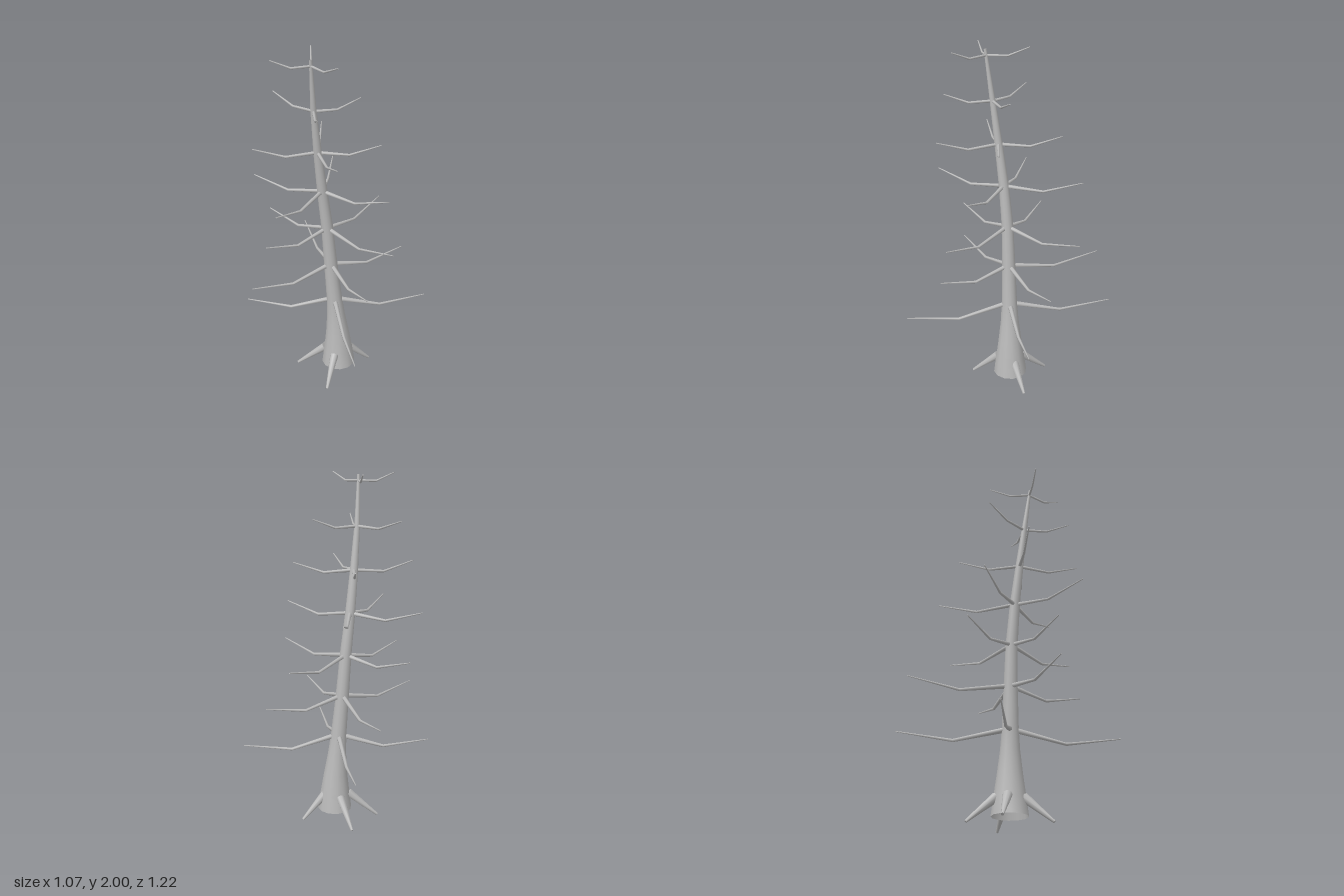
import * as THREE from 'three';

// Double-sided, because the hollow trunk is open at the base
const bark = new THREE.MeshStandardMaterial({ color: 0xbababa, side: THREE.DoubleSide });
bark.name = 'grey bark';

// Tapered tube through [x, y, z, radius] stations, optionally with horizontal rings and open ends
function limb(name, stations, sides, level = false) {
  const pts = stations.map(s => new THREE.Vector3(s[0], s[1], s[2]));
  const n = pts.length, pos = [], idx = [];
  const ref = level ? new THREE.Vector3(1, 0, 0) : new THREE.Vector3(0, 1, 0);
  pts.forEach((p, i) => {
    const t = level ? new THREE.Vector3(0, 1, 0)
      : pts[Math.min(i + 1, n - 1)].clone().sub(pts[Math.max(i - 1, 0)]).normalize();
    const u = ref.clone().addScaledVector(t, -ref.dot(t)).normalize();
    const v = t.clone().cross(u);
    for (let j = 0; j < sides; j++) {
      const a = j / sides * Math.PI * 2, r = stations[i][3];
      const q = p.clone().addScaledVector(u, Math.cos(a) * r).addScaledVector(v, Math.sin(a) * r);
      pos.push(q.x, q.y, q.z);
    }
  });
  for (let i = 0; i < n - 1; i++) {
    for (let j = 0; j < sides; j++) {
      const k = (j + 1) % sides;
      const a = i * sides + j, b = i * sides + k, c = a + sides, d = b + sides;
      idx.push(a, b, c, b, d, c);
    }
  }
  // End caps with their own vertices, so the rims stay sharp
  if (!level) {
    for (const end of [0, n - 1]) {
      const base = pos.length / 3;
      for (let j = 0; j < sides * 3; j++) pos.push(pos[end * sides * 3 + j]);
      for (let j = 1; j < sides - 1; j++) {
        if (end) idx.push(base, base + j, base + j + 1);
        else idx.push(base, base + j + 1, base + j);
      }
    }
  }
  const g = new THREE.BufferGeometry();
  g.setAttribute('position', new THREE.Float32BufferAttribute(pos, 3));
  g.setIndex(idx);
  g.computeVertexNormals();
  const mesh = new THREE.Mesh(g, bark);
  mesh.name = name;
  return mesh;
}

// Leaning trunk stations: x, y, z, radius
const TRUNK = [
  [0.002, 0.05, 0, 0.1], [0.001, 0.15, 0, 0.087], [-0.003, 0.27, 0, 0.07],
  [-0.012, 0.4, 0, 0.054], [-0.022, 0.52, 0, 0.046], [-0.042, 0.75, 0, 0.039],
  [-0.062, 1, 0.004, 0.034], [-0.09, 1.24, 0.02, 0.029], [-0.115, 1.48, 0.045, 0.023],
  [-0.136, 1.72, 0.073, 0.016], [-0.149, 1.99, 0.107, 0.008],
];

function trunkCentre(y) {
  let i = 0;
  while (i < TRUNK.length - 2 && TRUNK[i + 1][1] < y) i++;
  const [a, b] = [TRUNK[i], TRUNK[i + 1]];
  const f = (y - a[1]) / (b[1] - a[1]);
  return [a[0] + (b[0] - a[0]) * f, a[2] + (b[2] - a[2]) * f];
}

// Whorls: start, elbow and tip heights, base radius, tip positions [x, z]
const WHORLS = [
  { y: [0.515, 0.443, 0.487], r: 0.016, tips: [[0.53, -0.01], [-0.535, -0.095], [0.01, 0.61], [-0.004, -0.612]] },
  { y: [0.755, 0.702, 0.752], r: 0.0145, tips: [[0.407, -0.15], [-0.5, 0.208], [-0.142, -0.56], [0.107, 0.41]] },
  { y: [0.995, 0.953, 1.01], r: 0.013, tips: [[0.294, -0.33], [0.243, 0.383], [-0.415, 0.215], [-0.37, -0.258]] },
  { y: [1.235, 1.207, 1.266], r: 0.012, tips: [[-0.36, 0.362], [0.236, 0.263], [0.024, -0.41], [-0.452, -0.178]] },
  { y: [1.474, 1.461, 1.517], r: 0.0105, tips: [[0.219, 0.095], [-0.458, 0.06], [-0.055, -0.303], [-0.056, 0.392]] },
  { y: [1.713, 1.708, 1.758], r: 0.009, tips: [[-0.33, -0.15], [0.117, 0.02], [-0.145, 0.335]] },
  { y: [1.957, 1.953, 1.997], r: 0.007, tips: [[-0.35, 0.118], [-0.038, 0.296], [-0.125, -0.13]] },
];

export function createModel() {
  const model = new THREE.Group();
  model.name = 'bareTree';
  model.add(limb('trunk', TRUNK, 12, true));

  // Branches droop to an elbow halfway out, then rise to a thin tip
  const branches = new THREE.Group();
  branches.name = 'branches';
  for (const { y, r, tips } of WHORLS) {
    const [cx, cz] = trunkCentre(y[0]);
    for (const [x, z] of tips) {
      branches.add(limb('branch', [
        [cx, y[0], cz, r],
        [(cx + x) / 2, y[1], (cz + z) / 2, r * 0.35 + 0.0035],
        [x, y[2], z, 0.003],
      ], 6));
    }
  }
  model.add(branches);

  // Roots slope from the flared base down to the ground
  const roots = new THREE.Group();
  roots.name = 'roots';
  for (const [x, z] of [[0.2, -0.05], [-0.245, -0.06], [-0.095, 0.216], [-0.06, -0.23]]) {
    roots.add(limb('root', [[x * 0.32, 0.145, z * 0.32, 0.026], [x, 0.008, z, 0.008]], 8));
  }
  model.add(roots);
  return model;
}
